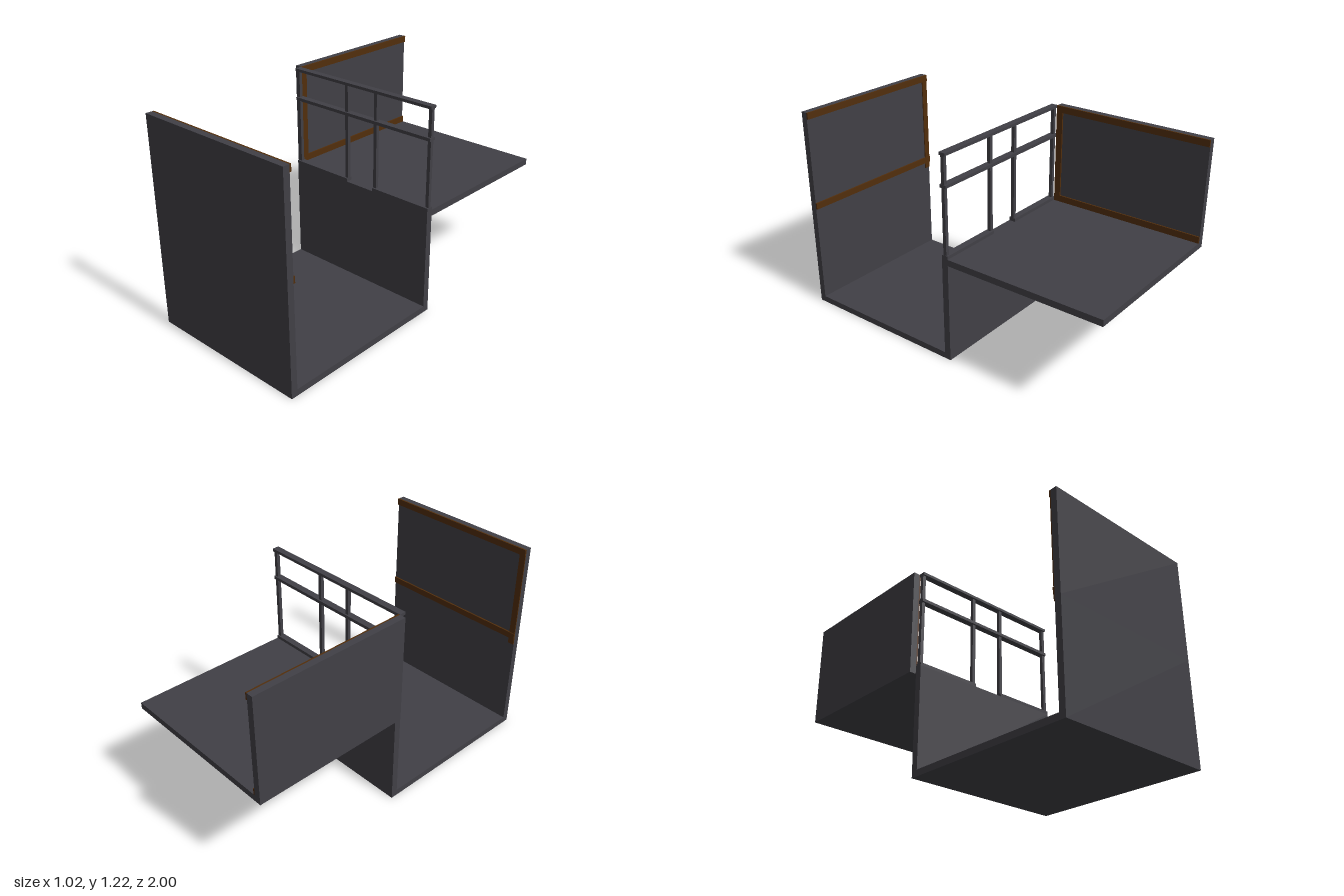
import * as THREE from 'three';

export function createModel() {
  const model = new THREE.Group();
  const charcoal = new THREE.MeshStandardMaterial({ color: 0x414046 });
  charcoal.name = 'charcoal';
  const brown = new THREE.MeshStandardMaterial({ color: 0x522e0c });
  brown.name = 'brown trim';

  // box given by its limits on each axis
  function slab(parent, name, material, [x0, x1], [y0, y1], [z0, z1]) {
    const mesh = new THREE.Mesh(new THREE.BoxGeometry(x1 - x0, y1 - y0, z1 - z0), material);
    mesh.position.set((x0 + x1) / 2, (y0 + y1) / 2, (z0 + z1) / 2);
    mesh.name = name;
    parent.add(mesh);
  }
  function group(name) {
    const g = new THREE.Group();
    g.name = name;
    model.add(g);
    return g;
  }

  const L = -0.47, R = 0.508, H = 1.216;
  const midLow = 0.59, midTop = 0.627;
  const width = [L, R];

  // floors and walls
  const shell = group('shell');
  slab(shell, 'lowerFloor', charcoal, width, [0, 0.037], [-0.018, 0.962]);
  slab(shell, 'lowerFrontWall', charcoal, width, [0, 0.61], [0.962, 1]);
  slab(shell, 'upperFrontWall', charcoal, width, [0.61, H], [0.962, 1]);
  slab(shell, 'middleWall', charcoal, width, [0, midTop], [-0.057, -0.018]);
  slab(shell, 'upperFloor', charcoal, width, [midLow, midTop], [-1, -0.057]);
  slab(shell, 'sideWall', charcoal, [-0.508, L], [midLow, H], [-1, -0.059]);

  // trim on the inside of the side wall
  const sideTrim = group('sideWallTrim');
  const sx = [L, L + 0.009];
  slab(sideTrim, 'topTrim', brown, sx, [1.178, H], [-1, -0.059]);
  slab(sideTrim, 'bottomTrim', brown, sx, [midTop, 0.665], [-1, -0.059]);
  slab(sideTrim, 'uprightTrim', brown, sx, [0.665, 1.178], [-0.098, -0.059]);

  // trim on the inside of the front wall
  const frontTrim = group('frontWallTrim');
  slab(frontTrim, 'topTrim', brown, width, [1.178, H], [0.952, 0.962]);
  slab(frontTrim, 'bottomTrim', brown, width, [midTop, 0.665], [0.952, 0.962]);
  slab(frontTrim, 'uprightTrim', brown, [L, L + 0.038], [midLow, 1.178], [0.956, 0.962]);

  // railing along the edge of the upper floor
  const railing = group('railing');
  const railZ = [-0.057, -0.018];
  slab(railing, 'topRail', charcoal, width, [1.2, H], railZ);
  slab(railing, 'middleRail', charcoal, width, [1.026, 1.044], railZ);
  slab(railing, 'leftBaseRail', charcoal, [L, -0.072], [midTop, 0.646], railZ);
  slab(railing, 'rightBaseRail', charcoal, [0.118, R], [midTop, 0.646], railZ);
  for (const x of [L + 0.012, -0.082, 0.128, R - 0.012]) {
    slab(railing, 'post', charcoal, [x - 0.01, x + 0.01], [midTop, 1.2], [-0.048, -0.028]);
  }

  return model;
}
